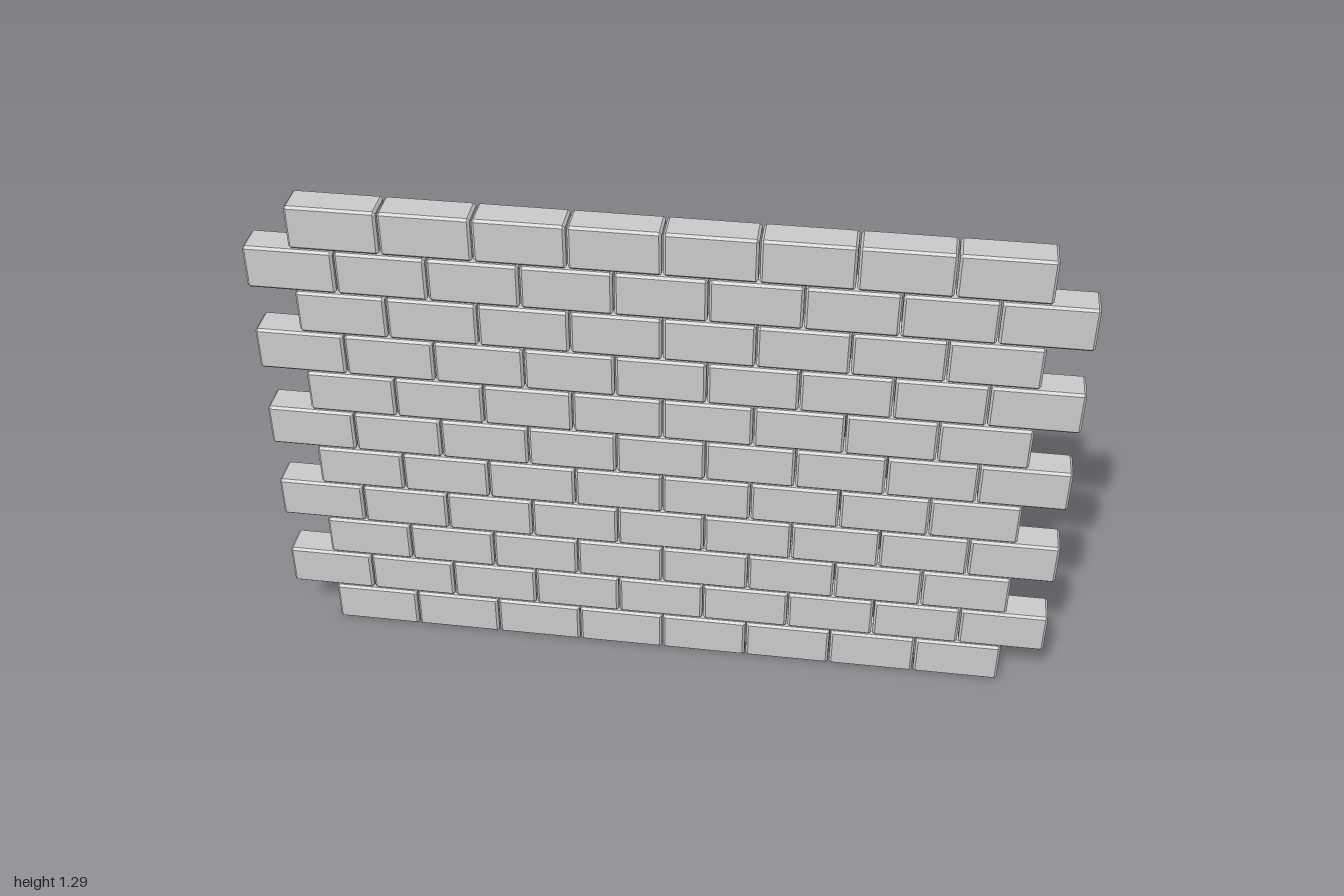
import * as THREE from 'three';
import { ConvexGeometry } from 'three/addons/geometries/ConvexGeometry.js';

const ROWS = 11;
const PITCH_X = 0.2226, PITCH_Y = 0.1172;
const WIDTH = 0.2192, HEIGHT = 0.1137, DEPTH = 0.084;
const CHAMFER = 0.006;

// Box with every edge chamfered: hull of three points per corner
function chamferedBox(w, h, d, c) {
  const points = [];
  for (const sx of [-1, 1]) for (const sy of [-1, 1]) for (const sz of [-1, 1]) {
    const x = w / 2, y = h / 2, z = d / 2;
    points.push(
      new THREE.Vector3(sx * x, sy * (y - c), sz * (z - c)),
      new THREE.Vector3(sx * (x - c), sy * y, sz * (z - c)),
      new THREE.Vector3(sx * (x - c), sy * (y - c), sz * z)
    );
  }
  return new ConvexGeometry(points);
}

export function createModel() {
  const wall = new THREE.Group();
  wall.name = 'brickWall';
  const material = new THREE.MeshStandardMaterial({ color: 0xcccccc, flatShading: true });
  const geometry = chamferedBox(WIDTH, HEIGHT, DEPTH, CHAMFER);

  // Running bond: courses alternate between eight and nine bricks
  for (let r = 0; r < ROWS; r++) {
    const course = new THREE.Group();
    course.name = `course${r + 1}`;
    const long = r % 2 === 1;
    const count = long ? 9 : 8;
    course.position.set(long ? 0 : 0.004, HEIGHT / 2 + r * PITCH_Y, 0);
    for (let i = 0; i < count; i++) {
      const brick = new THREE.Mesh(geometry, material);
      brick.name = `brick${i + 1}`;
      brick.position.x = (i - (count - 1) / 2) * PITCH_X;
      course.add(brick);
    }
    wall.add(course);
  }
  return wall;
}
